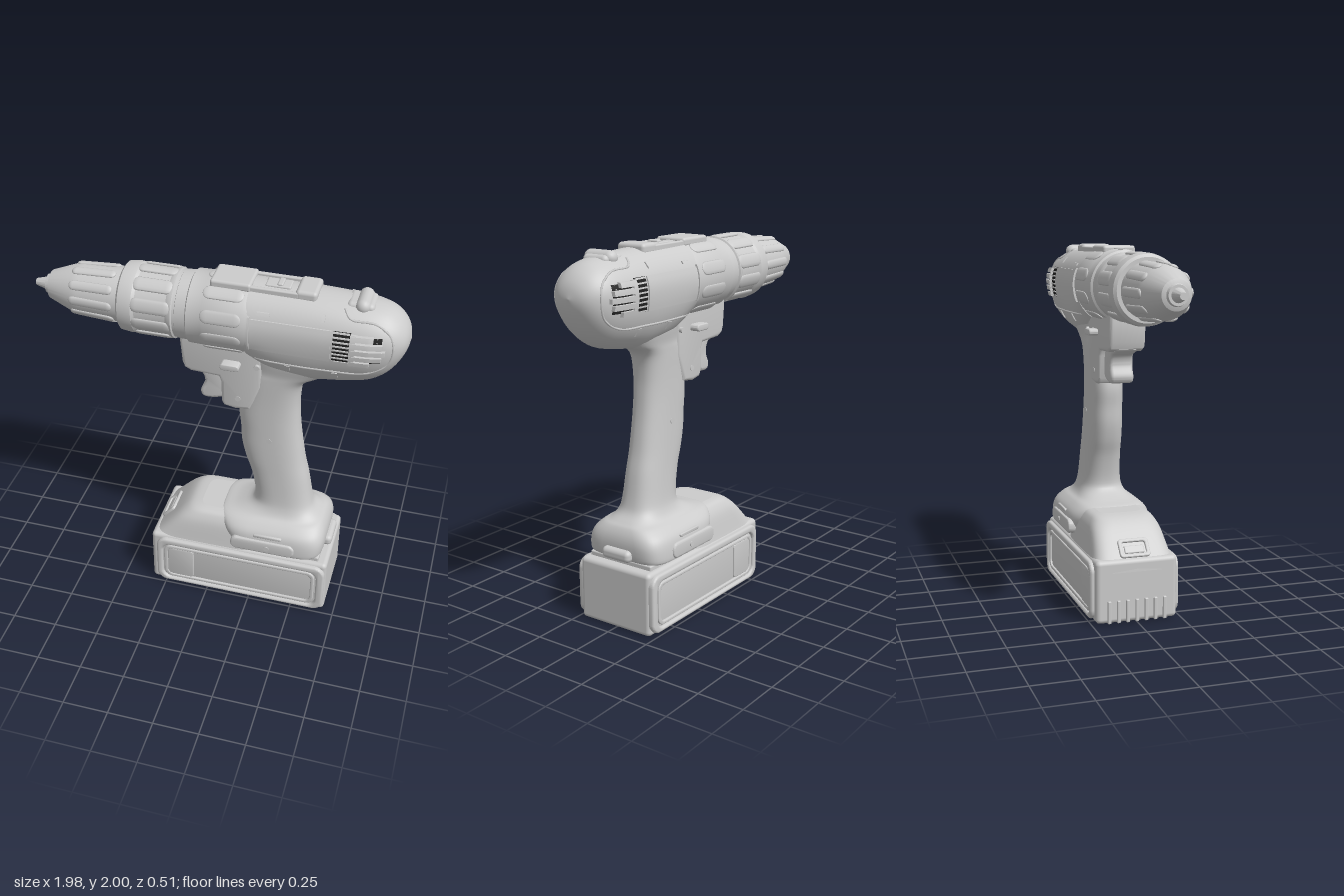
import * as THREE from 'three';
import { toCreasedNormals } from 'three/addons/utils/BufferGeometryUtils.js';
import { RoundedBoxGeometry } from 'three/addons/geometries/RoundedBoxGeometry.js';

const grey = new THREE.MeshStandardMaterial({ color: 0xcccccc });
const dark = new THREE.MeshStandardMaterial({ color: 0x222222 });
const AXIS = 1.782; // height of the barrel axis

// Smooth curve through rows of numbers, sampled k times per span
function spline(rows, k = 4) {
  const out = [];
  for (let i = 0; i < rows.length - 1; i++) {
    const [a, b, c, d] = [-1, 0, 1, 2].map(o => rows[Math.min(rows.length - 1, Math.max(0, i + o))]);
    for (let j = 0; j < k; j++) {
      const t = j / k;
      out.push(b.map((p, n) => {
        const cubic = 3 * (p - c[n]) + d[n] - a[n];
        const square = 2 * a[n] - 5 * p + 4 * c[n] - d[n];
        return p + 0.5 * t * (c[n] - a[n] + t * (square + t * cubic));
      }));
    }
  }
  out.push(rows[rows.length - 1]);
  return out;
}

// Closed skin over rings of [x, y, z] points, with flat end caps
function loft(rings) {
  const n = rings[0].length, pos = rings.flat(2), idx = [];
  for (let r = 0; r < rings.length - 1; r++) for (let i = 0; i < n; i++) {
    const a = r * n + i, b = r * n + (i + 1) % n;
    idx.push(a, b, a + n, b, b + n, a + n);
  }
  [0, rings.length - 1].forEach(r => {
    const base = pos.length / 3, mid = [0, 1, 2].map(c => rings[r].reduce((s, p) => s + p[c] / n, 0));
    pos.push(...rings[r].flat(), ...mid);
    for (let i = 0; i < n; i++) {
      const a = base + i, b = base + (i + 1) % n;
      idx.push(...(r ? [a, b, base + n] : [b, a, base + n]));
    }
  });
  // Turn the faces outward if the rings run the other way
  const v = i => new THREE.Vector3().fromArray(pos, i * 3);
  let vol = 0;
  for (let i = 0; i < idx.length; i += 3) vol += v(idx[i]).dot(v(idx[i + 1]).cross(v(idx[i + 2])));
  if (vol < 0) idx.reverse();
  const g = new THREE.BufferGeometry();
  g.setAttribute('position', new THREE.Float32BufferAttribute(pos, 3));
  g.setIndex(idx);
  g.computeVertexNormals();
  return g;
}

const pw = (v, e) => Math.sign(v) * Math.abs(v) ** e;
const angles = Array.from({ length: 48 }, (_, i) => i / 48 * Math.PI * 2);
// Upright loft from rows [y, xMin, xMax, halfDepth, squareness]
const upright = rows => loft(spline(rows).map(([y, a, b, h, n]) => angles.map(t =>
  [(a + b) / 2 + (b - a) / 2 * pw(Math.cos(t), 2 / n), y, h * pw(Math.sin(t), 2 / n)])));

// Turned part on the barrel axis from [x, radius] points
function turned(pts) {
  const g = new THREE.LatheGeometry(pts.map(([x, r]) => new THREE.Vector2(r, x)), 64);
  return toCreasedNormals(g.rotateZ(-Math.PI / 2).translate(0, AXIS, 0), 0.45);
}

// Motor housing rows: [x, top, bottom, halfDepth]
const HOUSING = [[.18, 1.982, 1.57, .19], [.3, 1.98, 1.5, .188], [.48, 1.977, 1.47, .187], [.6, 1.972, 1.482, .187],
  [.7, 1.965, 1.497, .186], [.8, 1.955, 1.522, .18], [.87, 1.938, 1.565, .165], [.92, 1.908, 1.62, .14],
  [.955, 1.87, 1.68, .105], [.975, 1.83, 1.73, .063], [.985, 1.783, 1.777, .004]];
function housingDepth(x, y) {
  let i = 0;
  while (i < HOUSING.length - 2 && HOUSING[i + 1][0] < x) i++;
  const a = HOUSING[i], b = HOUSING[i + 1], t = (x - a[0]) / (b[0] - a[0]);
  const [, top, bot, h] = a.map((v, n) => v + (b[n] - v) * t);
  const s = (y - 1.78) / (y > 1.78 ? top - 1.78 : 1.78 - bot);
  return h * Math.sqrt(Math.max(0, 1 - s * s));
}
// Plate that follows the side of the housing
function skin(x0, x1, y0, y1, off) {
  const g = new THREE.BoxGeometry(x1 - x0, y1 - y0, 1, 12, 8, 1).translate((x0 + x1) / 2, (y0 + y1) / 2, 0);
  const p = g.attributes.position;
  for (let i = 0; i < p.count; i++) p.setZ(i, housingDepth(p.getX(i), p.getY(i)) + (p.getZ(i) > 0 ? off : -.03));
  g.computeVertexNormals();
  return g;
}

function roundRect(S, x0, x1, y0, y1, r) {
  const s = new S();
  s.absarc(x1 - r, y1 - r, r, 0, Math.PI / 2);
  s.absarc(x0 + r, y1 - r, r, Math.PI / 2, Math.PI);
  s.absarc(x0 + r, y0 + r, r, Math.PI, Math.PI * 1.5);
  s.absarc(x1 - r, y0 + r, r, Math.PI * 1.5, Math.PI * 2);
  s.closePath();
  return s;
}
// Bevelled extrusion between two z values
function slab(shape, z0, z1, bevel = .01) {
  const g = new THREE.ExtrudeGeometry(shape, { depth: z1 - z0 - 2 * bevel, bevelThickness: bevel, bevelSize: bevel,
    bevelOffset: -bevel, bevelSegments: 3, curveSegments: 10 });
  return toCreasedNormals(g.translate(0, 0, z0 + bevel), 0.6);
}
const smoothShape = pts => new THREE.Shape(new THREE.CatmullRomCurve3(
  pts.map(p => new THREE.Vector3(...p, 0)), true, 'centripetal').getPoints(60).map(p => new THREE.Vector2(p.x, p.y)));
const box = (x0, x1, y0, y1, z0, z1, r = .008) =>
  new RoundedBoxGeometry(x1 - x0, y1 - y0, z1 - z0, 3, r).translate((x0 + x1) / 2, (y0 + y1) / 2, (z0 + z1) / 2);

export function createModel() {
  const model = new THREE.Group();
  const add = (name, geo, mat = grey) => {
    const m = new THREE.Mesh(geo, mat);
    m.name = name;
    model.add(m);
    return m;
  };
  const both = (name, geo, mat) => { // one on each side
    add(name + 'Left', geo, mat);
    add(name + 'Right', geo, mat).scale.z = -1;
  };
  // Flattened grip pads spread around the barrel axis
  const pads = (name, count, x0, x1, r0, r1, width, thick, turn = 0) => {
    const len = x1 - x0;
    for (let i = 0; i < count; i++) {
      const g = new THREE.CapsuleGeometry(width / 2, len - width, 6, 12).rotateZ(-Math.PI / 2);
      g.scale(1, thick / (width / 2), 1).rotateZ(Math.atan2(r1 - r0, len)).translate((x0 + x1) / 2, (r0 + r1) / 2, 0);
      add(name, g.rotateX((i + turn) / count * Math.PI * 2).translate(0, AXIS, 0));
    }
  };

  // Chuck with its tapered jaws
  add('chuckJaws', turned([[-.99, 0], [-.99, .018], [-.925, .036], [-.925, .05], [-.905, .056], [-.905, 0]]));
  add('chuck', turned([[-.91, 0], [-.91, .05], [-.90, .076], [-.76, .13], [-.72, .136], [-.5, .144], [-.48, .144], [-.48, 0]]));
  pads('chuckGrip', 10, -.765, -.525, .131, .145, .05, .011, .5);

  // Clutch ring
  add('clutchRing', turned([[-.495, 0], [-.495, .165], [-.483, .18], [-.43, .186], [-.41, .184], [-.395, .174], [-.23, .174],
    [-.215, .182], [-.2, .184], [-.195, .175], [-.12, .175], [-.12, 0]]));
  pads('clutchGrip', 10, -.42, -.2, .176, .176, .075, .012);

  // Gear case
  add('gearCase', turned([[-.19, 0], [-.19, .165], [-.18, .178], [-.125, .18], [-.118, .191], [-.04, .193], [-.03, .197],
    [.165, .197], [.185, .193], [.215, .188], [.215, 0]]));
  pads('gearCaseRib', 10, -.045, .165, .197, .197, .07, .008);

  // Motor housing
  add('motorHousing', loft(spline(HOUSING).map(([x, top, bot, h]) => angles.map(t =>
    [x, 1.78 + Math.sin(t) * (t < Math.PI ? top - 1.78 : 1.78 - bot), h * Math.cos(t)]))));
  both('sidePanel', skin(.21, .615, 1.69, 1.86, .007));
  both('panelEdge', skin(.197, .207, 1.685, 1.87, .012));
  both('ventOpening', skin(.625, .71, 1.69, 1.86, .003), dark);
  for (let i = 0; i < 8; i++) both('ventSlat', skin(.625, .705, 1.692 + i * .0228, 1.699 + i * .0228, .009));
  both('grilleOpening', skin(.715, .86, 1.705, 1.845, .002), dark);
  [.81, .865, .88, .865, .82].forEach((end, i) => both('grilleBar', skin(.712, end, 1.688 + i * .035, 1.713 + i * .035, .02)));
  both('grillePost', skin(.708, .735, 1.69, 1.855, .017));
  const seam = [[.66, 1.945], [.70, 1.912], [.82, 1.9], [.895, 1.85], [.915, 1.77], [.885, 1.68], [.79, 1.625], [.6, 1.615], [.23, 1.612]];
  const seamCurve = new THREE.CatmullRomCurve3(seam.map(([x, y]) => new THREE.Vector3(x, y, housingDepth(x, y))));
  both('gripSeam', new THREE.TubeGeometry(new THREE.CatmullRomCurve3(seamCurve.getPoints(50)
    .map(p => p.setZ(housingDepth(p.x, p.y)))), 100, .006, 6));
  [[.4, 1.585], [.64, 1.585]].forEach(([x, y]) => both('housingClip', skin(x - .014, x + .014, y - .02, y + .02, .008)));
  both('topClip', skin(.24, .305, 1.882, 1.896, .008));
  both('rearClip', skin(.562, .576, 1.89, 1.92, .008));

  // Speed selector on top, and the rear bumper
  add('selectorFrontRamp', box(-.02, .19, 1.95, 1.995, -.09, .09, .015));
  add('selectorRearRamp', box(.41, .52, 1.94, 1.997, -.085, .085, .02));
  [-1, 1].forEach(s => add('selectorRail', box(.17, .43, 1.95, 1.984, s * .073 - .012, s * .073 + .012)));
  add('selectorSlide', box(.25, .38, 1.95, 1.985, -.04, .04));
  add('selectorTab', box(.31, .34, 1.96, 1.995, -.035, .035));
  add('rearBumper', new THREE.CapsuleGeometry(.038, .11, 8, 16).rotateX(Math.PI / 2).translate(.742, 1.95, 0));
  add('bumperBase', box(.66, .80, 1.9, 1.968, -.075, .075, .025));

  // Handle flaring up into the housing and down into the foot
  add('handle', upright([[.37, .15, .63, .232, 5], [.385, .135, .65, .243, 5], [.45, .085, .657, .24, 5], [.5, .058, .65, .225, 4.5],
    [.54, .05, .63, .185, 4], [.562, .13, .605, .15, 3.2], [.6, .21, .565, .127, 2.7], [.66, .227, .545, .114, 2.5],
    [.8, .2, .52, .105, 2.5], [.9, .165, .497, .102, 2.5], [1, .142, .48, .1, 2.5], [1.1, .135, .465, .098, 2.5],
    [1.2, .125, .455, .097, 2.5], [1.3, .14, .45, .097, 2.6], [1.4, .16, .46, .099, 2.7], [1.45, .17, .495, .1, 2.7],
    [1.49, .17, .57, .102, 2.5], [1.56, .17, .64, .115, 2.5], [1.65, .17, .6, .12, 2.5]]));

  // Trigger, its housing and the direction button
  const frame = new THREE.Shape([[-.18, 1.62], [-.168, 1.49], [-.155, 1.455], [-.12, 1.437], [.03, 1.43], [.042, 1.4],
    [.045, 1.275], [.06, 1.25], [.12, 1.238], [.2, 1.25], [.26, 1.4], [.26, 1.66], [-.17, 1.66]].map(p => new THREE.Vector2(...p)));
  add('triggerHousing', slab(frame, -.1, .1, .018));
  add('trigger', slab(smoothShape([[-.15, 1.45], [-.11, 1.425], [-.072, 1.41], [-.056, 1.36], [-.08, 1.295], [-.065, 1.262],
    [.0, 1.262], [.06, 1.29], [.06, 1.45], [-.05, 1.47]]), -.065, .065, .018));
  add('directionButton', slab(roundRect(THREE.Shape, .048, .15, 1.51, 1.546, .017), -.15, .15, .006));

  // Screws
  [[.235, 1.53, .115], [.135, 1.31, .103], [.31, 1.06, .101], [.35, .42, .257]].forEach(([x, y, z]) =>
    both('screw', new THREE.CylinderGeometry(.015, .015, .03, 16).rotateX(Math.PI / 2).translate(x, y, z - .015)));

  // Foot side plates and rear hook
  both('footPlate', slab(roundRect(THREE.Shape, .14, .505, .38, .462, .035), .2, .252));
  both('footSlot', slab(roundRect(THREE.Shape, .27, .43, .478, .496, .008), .19, .24, .004));
  add('rearHook', box(.58, .688, .375, .438, -.09, .09, .025));
  add('footRail', box(.1, .64, .335, .375, -.2, .2));

  // Battery pack
  add('batteryCase', box(-.335, .692, .003, .35, -.228, .228, .025));
  add('batteryHood', upright([[.28, -.336, .3, .226, 8], [.325, -.33, .3, .224, 8], [.36, -.302, .3, .218, 7], [.46, -.212, .25, .2, 6],
    [.51, -.16, .2, .178, 5], [.533, -.12, .2, .155, 5], [.542, -.07, .18, .12, 5]]));
  const rim = roundRect(THREE.Shape, -.3, .685, .015, .335, .06);
  rim.holes.push(roundRect(THREE.Path, -.265, .64, .04, .295, .05));
  both('batteryRim', slab(rim, .2, .25, .012));
  const lip = roundRect(THREE.Shape, -.255, .63, .048, .287, .045);
  lip.holes.push(roundRect(THREE.Path, -.235, .61, .066, .269, .035));
  both('batteryInnerRim', slab(lip, .2, .244, .004));
  both('batteryPanel', slab(roundRect(THREE.Shape, -.27, .645, .035, .3, .04), .2, .232, .003));
  both('batteryDivider', slab(roundRect(THREE.Shape, -.235, -.08, .066, .269, .02), .2, .24, .004));

  // Release latch on the slope, and ribs below it
  const latch = roundRect(THREE.Shape, -.085, .085, -.055, .055, .02);
  latch.holes.push(roundRect(THREE.Path, -.065, .065, -.035, .035, .012));
  const slope = g => g.rotateY(-Math.PI / 2).rotateZ(-.72).translate(-.272, .392, 0);
  add('latchFrame', slope(slab(latch, -.02, .014, .005)));
  add('latchButton', slope(box(-.055, .055, -.03, .015, -.02, .008, .006)));
  for (let i = -3; i <= 3; i++) add('batteryRib', box(-.346, -.31, .004, .13, i * .052 - .01, i * .052 + .01, .006));

  // Bottom screws
  [-.25, .6].forEach(x => [-.17, .17].forEach(z =>
    add('bottomScrew', new THREE.CylinderGeometry(.016, .016, .02, 16).translate(x, .01, z))));

  return model;
}
